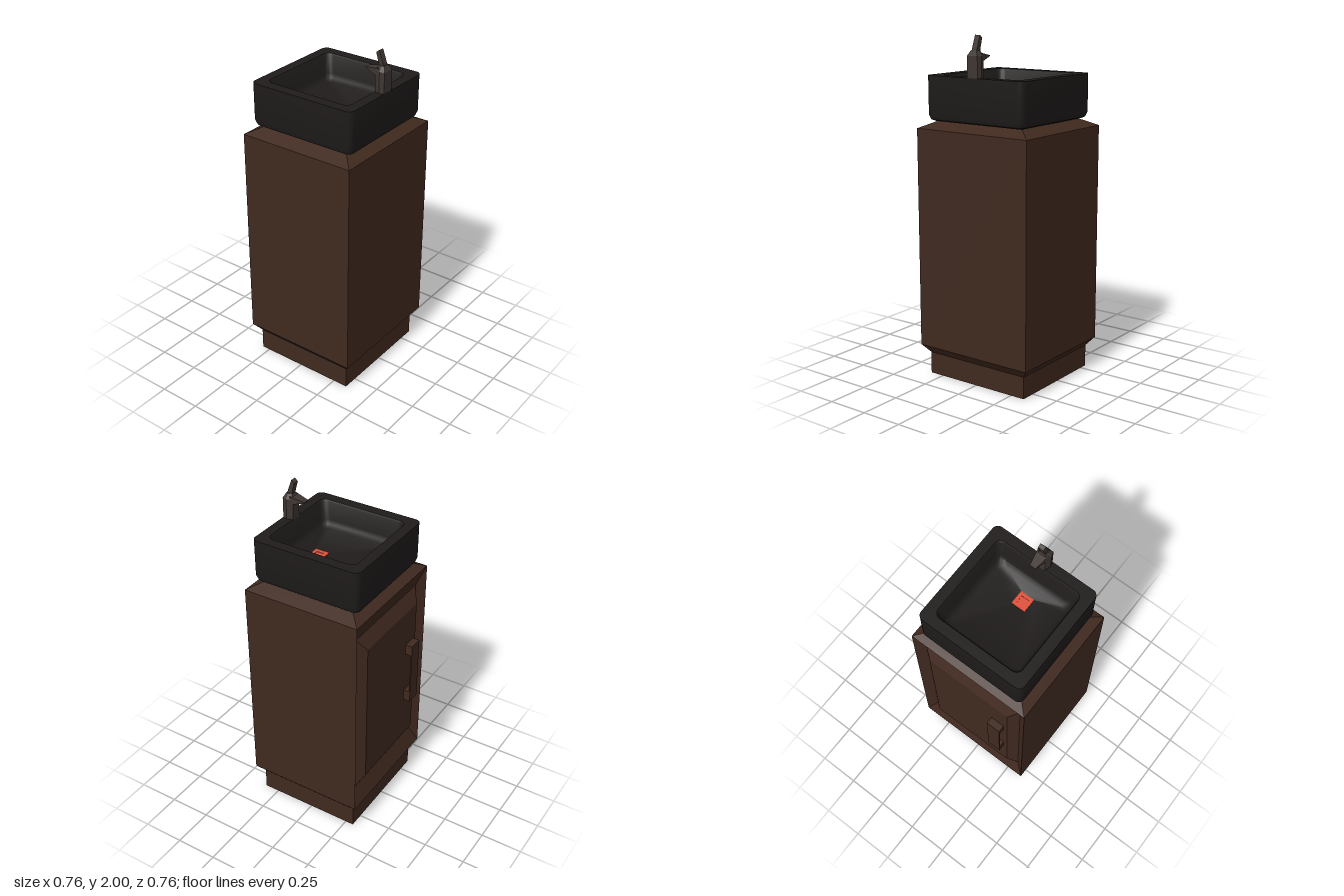
import * as THREE from 'three';
import { toCreasedNormals } from 'three/addons/utils/BufferGeometryUtils.js';

const wood = new THREE.MeshStandardMaterial({ color: 0x40291f });
const stone = new THREE.MeshStandardMaterial({ color: 0x1f1c1b });
const metal = new THREE.MeshStandardMaterial({ color: 0x3f3632 });
const red = new THREE.MeshStandardMaterial({ color: 0xe0523d });

// Skin a series of convex rings; each ring runs counter-clockwise seen from the end of the loft.
function loft(rings, capStart = true, capEnd = true) {
  const out = [];
  const tri = (a, b, c) => out.push(...a, ...b, ...c);
  const n = rings[0].length;
  for (let i = 0; i < rings.length - 1; i++) {
    const p = rings[i], q = rings[i + 1];
    for (let j = 0; j < n; j++) {
      const k = (j + 1) % n;
      tri(p[j], p[k], q[k]);
      tri(p[j], q[k], q[j]);
    }
  }
  const first = rings[0], last = rings[rings.length - 1];
  for (let j = 1; j < n - 1; j++) {
    if (capStart) tri(first[0], first[j + 1], first[j]);
    if (capEnd) tri(last[0], last[j], last[j + 1]);
  }
  const g = new THREE.BufferGeometry();
  g.setAttribute('position', new THREE.Float32BufferAttribute(out, 3));
  g.computeVertexNormals();
  return g;
}

// Horizontal rectangle at height y
const rectY = (y, x0, x1, z) => [[x1, y, z], [x1, y, -z], [x0, y, -z], [x0, y, z]];
// Upright rectangle at a given x, for lofts running towards -x
const rectX = (x, z, y0, y1) => [[x, y0, z], [x, y1, z], [x, y1, -z], [x, y0, -z]];

// Horizontal rounded rectangle
function roundedRing(y, cx, hx, hz, r) {
  const pts = [], steps = 6;
  const signs = [[1, 1], [-1, 1], [-1, -1], [1, -1]];
  signs.forEach(([sx, sz], q) => {
    for (let i = 0; i <= steps; i++) {
      const a = (q + i / steps) * Math.PI / 2;
      pts.push([cx + sx * (hx - r) + r * Math.cos(a), y, -(sz * (hz - r) + r * Math.sin(a))]);
    }
  });
  return pts;
}

export function createModel() {
  const model = new THREE.Group();
  const add = (name, geometry, material, parent = model) => {
    const mesh = new THREE.Mesh(geometry, material);
    mesh.name = name;
    parent.add(mesh);
    return mesh;
  };
  const box = (name, x0, x1, y0, y1, z0, z1, material, parent) =>
    add(name, new THREE.BoxGeometry(x1 - x0, y1 - y0, z1 - z0), material, parent)
      .position.set((x0 + x1) / 2, (y0 + y1) / 2, (z0 + z1) / 2);

  // Cabinet, with a V groove around a raised door panel on the -x side
  const cabinet = new THREE.Group();
  cabinet.name = 'cabinet';
  model.add(cabinet);
  add('cabinetBodyWithDoor', loft([
    rectX(0.38, 0.38, 0.18, 1.47),
    rectX(-0.34, 0.38, 0.18, 1.47),
    rectX(-0.30, 0.325, 0.295, 1.355),
    rectX(-0.343, 0.27, 0.375, 1.275),
  ]), wood, cabinet);
  add('slopedTop', loft([
    rectY(1.47, -0.34, 0.38, 0.38),
    rectY(1.512, -0.255, 0.295, 0.29),
  ], false), wood, cabinet);
  add('plinth', loft([
    rectY(0, -0.30, 0.34, 0.338),
    rectY(0.13, -0.30, 0.34, 0.338),
    rectY(0.18, -0.34, 0.38, 0.38),
  ], true, false), wood, cabinet);

  // Door handle
  const handle = new THREE.Group();
  handle.name = 'doorHandle';
  model.add(handle);
  box('handleGrip', -0.385, -0.378, 0.65, 1.05, 0.16, 0.245, wood, handle);
  for (const [y0, y1] of [[0.65, 0.72], [0.985, 1.05]])
    box('handleEnd', -0.38, -0.34, y0, y1, 0.16, 0.245, wood, handle);

  // Basin: up the outside, over the rim, down the inside to the drain
  const cx = 0.019, drainX = 0.147;
  const basin = loft([
    roundedRing(1.514, cx, 0.308, 0.308, 0.03),
    roundedRing(1.522, cx, 0.323, 0.323, 0.033),
    roundedRing(1.55, cx, 0.333, 0.333, 0.035),
    roundedRing(1.77, cx, 0.334, 0.333, 0.035),
    roundedRing(1.77, cx, 0.274, 0.272, 0.04),
    roundedRing(1.76, cx, 0.267, 0.265, 0.04),
    roundedRing(1.66, cx, 0.252, 0.25, 0.04),
    roundedRing(1.635, cx, 0.243, 0.241, 0.04),
    roundedRing(1.62, cx, 0.22, 0.22, 0.04),
    roundedRing(1.575, drainX, 0.043, 0.043, 0.005),
  ]);
  add('basin', toCreasedNormals(basin, 0.7), stone);

  // Drain plate with a sunken middle
  const drainRing = (y, h) => rectY(y, drainX - h, drainX + h, h);
  add('drain', loft([
    drainRing(1.57, 0.043), drainRing(1.58, 0.043), drainRing(1.58, 0.023), drainRing(1.577, 0.023),
  ]), red);

  // Tap: faceted column, tapering spout and tilted lever
  const tap = new THREE.Group();
  tap.name = 'tap';
  model.add(tap);
  const column = (y, s) => [
    [0.352, 0.035], [0.352, -0.035], [0.325, -0.043], [0.29, -0.03], [0.29, 0.03], [0.325, 0.043],
  ].map(([x, z]) => [0.322 + (x - 0.322) * s, y, z * s]);
  add('tapColumn', loft([column(1.765, 1), column(1.89, 1), column(1.918, 0.55)]), metal, tap);
  add('tapSpout', loft([
    rectX(0.31, 0.035, 1.86, 1.905),
    rectX(0.285, 0.03, 1.864, 1.9),
    rectX(0.22, 0.018, 1.882, 1.888),
  ]), metal, tap);
  const lever = [[0.306, 1.9, 0.335, 1.91], [0.299, 1.935, 0.328, 1.935], [0.285, 1.985, 0.304, 2.0]];
  add('tapLever', loft(lever.map(([x0, y0, x1, y1]) =>
    [[x1, y1, 0.017], [x1, y1, -0.017], [x0, y0, -0.017], [x0, y0, 0.017]])), metal, tap);

  return model;
}
